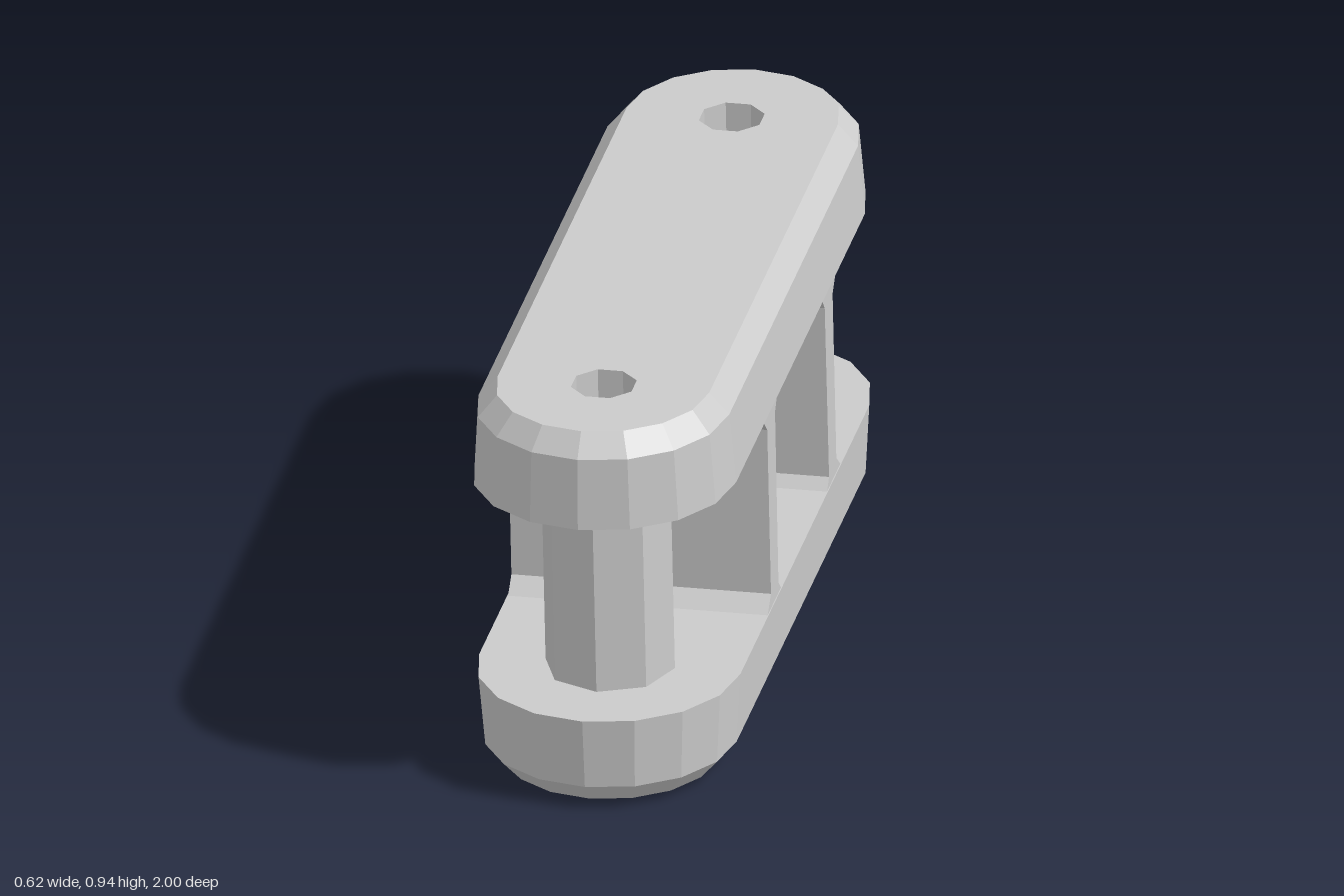
import * as THREE from 'three';

const HALF_GAP = 0.242; // half the clear height between the plates
const PIN_Z = 0.695;    // distance of the end posts from the centre

function polygon(PathType, radius, x, y, sides, turn) {
  const points = [];
  for (let i = 0; i < sides; i++) {
    const a = turn + (i / sides) * Math.PI * 2;
    points.push(new THREE.Vector2(x + radius * Math.cos(a), y + radius * Math.sin(a)));
  }
  return new PathType(points);
}

const bore = (y) => polygon(THREE.Path, 0.076, 0, y, 8, Math.PI / 8);

// Round-ended plate with two bores, tapered towards its outer chamfered face
function plateGeometry() {
  const outline = [];
  for (const side of [1, -1]) {
    for (let i = 0; i <= 8; i++) {
      const a = (i / 8) * Math.PI;
      outline.push(new THREE.Vector2(side * 0.303 * Math.cos(a), side * (0.7 + 0.3 * Math.sin(a))));
    }
  }
  const shape = new THREE.Shape(outline);
  shape.holes.push(bore(PIN_Z), bore(-PIN_Z));
  const geometry = new THREE.ExtrudeGeometry(shape, { depth: 1, steps: 2, bevelEnabled: false });
  geometry.rotateX(-Math.PI / 2);
  const levels = [HALF_GAP, 0.413, 0.464];
  const scales = [1, 0.96, 0.81];
  const p = geometry.attributes.position;
  for (let i = 0; i < p.count; i++) {
    const x = p.getX(i), z = p.getZ(i);
    const level = Math.round(p.getY(i) * 2);
    p.setY(i, levels[level]);
    const spineZ = THREE.MathUtils.clamp(z, -0.7, 0.7);
    if (Math.hypot(x, z - spineZ) > 0.1) {
      p.setX(i, x * scales[level]);
      p.setZ(i, spineZ + (z - spineZ) * scales[level]);
    }
  }
  geometry.computeVertexNormals();
  return geometry;
}

// Octagonal post, optionally bored through
function postGeometry(hollow) {
  const shape = polygon(THREE.Shape, 0.15, 0, 0, 8, 0);
  if (hollow) shape.holes.push(bore(0));
  const geometry = new THREE.ExtrudeGeometry(shape, { depth: HALF_GAP * 2, bevelEnabled: false });
  return geometry.translate(0, 0, -HALF_GAP).rotateX(-Math.PI / 2);
}

// Cross web whose feet flare into the plates
function webGeometry() {
  const h = HALF_GAP;
  const profile = [
    [0.25, -h], [0.395, -h], [0.355, -h + 0.035], [0.355, h - 0.035], [0.39, h],
    [0.245, h], [0.27, h - 0.03], [0.275, -h + 0.025],
  ];
  const shape = new THREE.Shape(profile.map(([z, y]) => new THREE.Vector2(z, y)));
  const geometry = new THREE.ExtrudeGeometry(shape, { depth: 0.602, bevelEnabled: false });
  return geometry.translate(0, 0, -0.301).rotateY(-Math.PI / 2);
}

export function createModel() {
  const model = new THREE.Group();
  model.name = 'linkBlock';
  const body = new THREE.Group();
  body.name = 'body';
  body.position.y = 0.47;
  body.rotation.z = 0.021; // the whole piece leans slightly
  model.add(body);

  const material = new THREE.MeshStandardMaterial({ color: 0xcccccc, flatShading: true });
  const add = (name, geometry) => {
    const mesh = new THREE.Mesh(geometry, material);
    mesh.name = name;
    body.add(mesh);
    return mesh;
  };

  // Plates
  const plate = plateGeometry();
  add('topPlate', plate);
  add('bottomPlate', plate).rotation.x = Math.PI;

  // End posts and cross webs
  const endPost = postGeometry(true);
  const web = webGeometry();
  for (const [name, side] of [['front', 1], ['back', -1]]) {
    add(name + 'Post', endPost).position.z = side * PIN_Z;
    add(name + 'Web', web).rotation.y = side > 0 ? 0 : Math.PI;
  }

  // Solid post and thin wall inside the middle window
  add('centrePost', postGeometry(false));
  add('centreWall', new THREE.BoxGeometry(0.08, HALF_GAP * 2, 0.58));

  return model;
}
